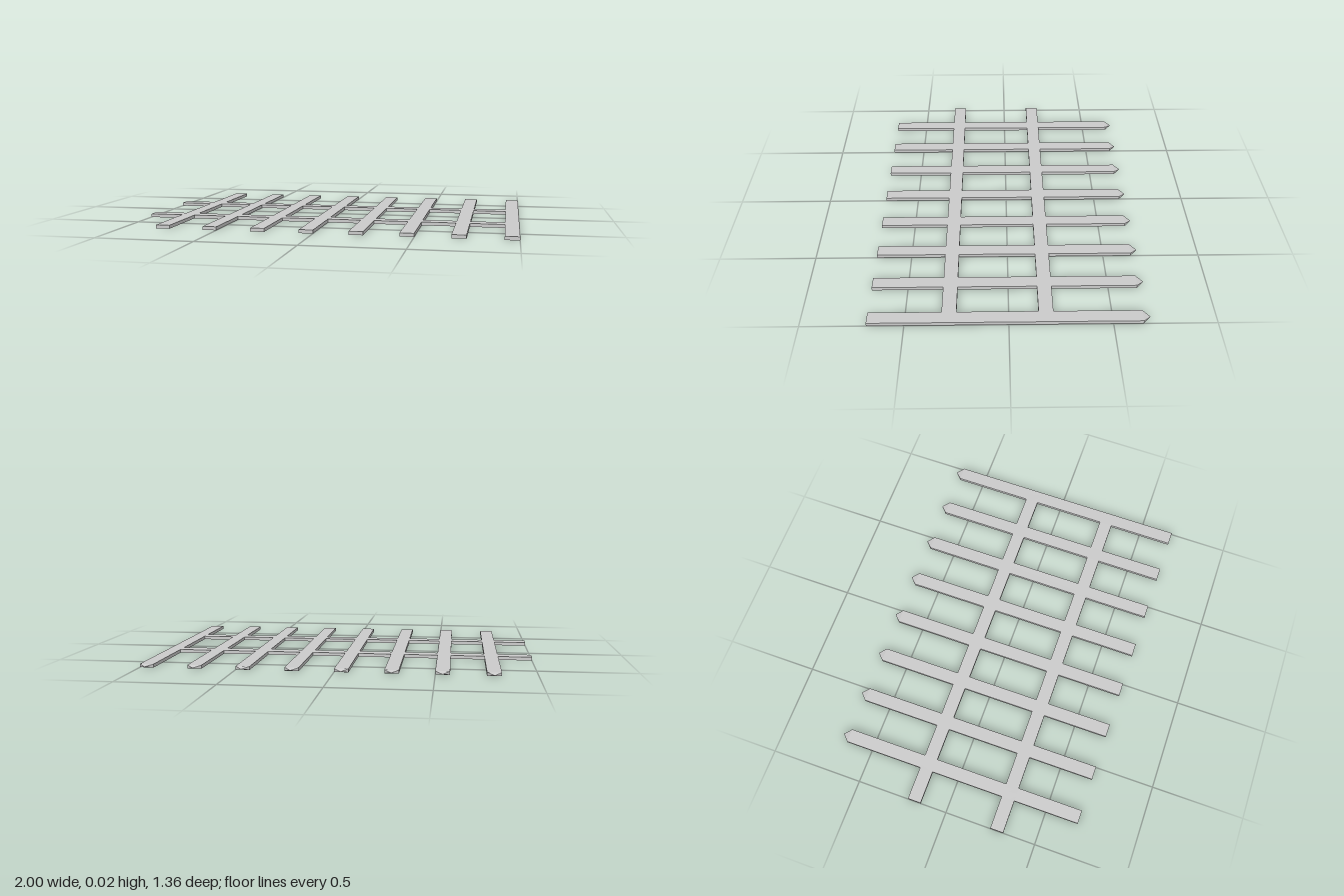
import * as THREE from 'three';

const T = 0.018;   // board thickness
const W = 0.072;   // board width
const FOOT = 0.68, SHOULDER = -0.645, TIP = -0.68;

// Four-sided pyramid tip: a square cone stretched to the board section, pointing to -z
function tipGeometry() {
  const g = new THREE.ConeGeometry(Math.SQRT1_2, 1, 4, 1, true).toNonIndexed();
  g.rotateY(Math.PI / 4);
  g.rotateX(-Math.PI / 2);
  g.scale(W, T, SHOULDER - TIP);
  g.computeVertexNormals();
  return g;
}

export function createModel() {
  const model = new THREE.Group();
  model.name = 'picketFence';
  const mat = new THREE.MeshStandardMaterial({ color: 0xcccccc, flatShading: true });

  const add = (parent, name, geometry, x, z) => {
    const mesh = new THREE.Mesh(geometry, mat);
    mesh.name = name;
    mesh.position.set(x, T / 2, z);
    parent.add(mesh);
  };

  // Eight pickets lying flat, each with a pointed end
  const board = new THREE.BoxGeometry(W, T, FOOT - SHOULDER);
  const tip = tipGeometry();
  for (let i = 0; i < 8; i++) {
    const picket = new THREE.Group();
    picket.name = `picket${i + 1}`;
    picket.position.x = -0.786 + i * 0.25;
    add(picket, 'picketBoard', board, 0, (FOOT + SHOULDER) / 2);
    add(picket, 'picketTip', tip, 0, (SHOULDER + TIP) / 2);
    model.add(picket);
  }

  // Two cross rails, flush with the pickets
  const rail = new THREE.BoxGeometry(2, T, W);
  add(model, 'upperRail', rail, 0, -0.18);
  add(model, 'lowerRail', rail, 0, 0.288);

  return model;
}
